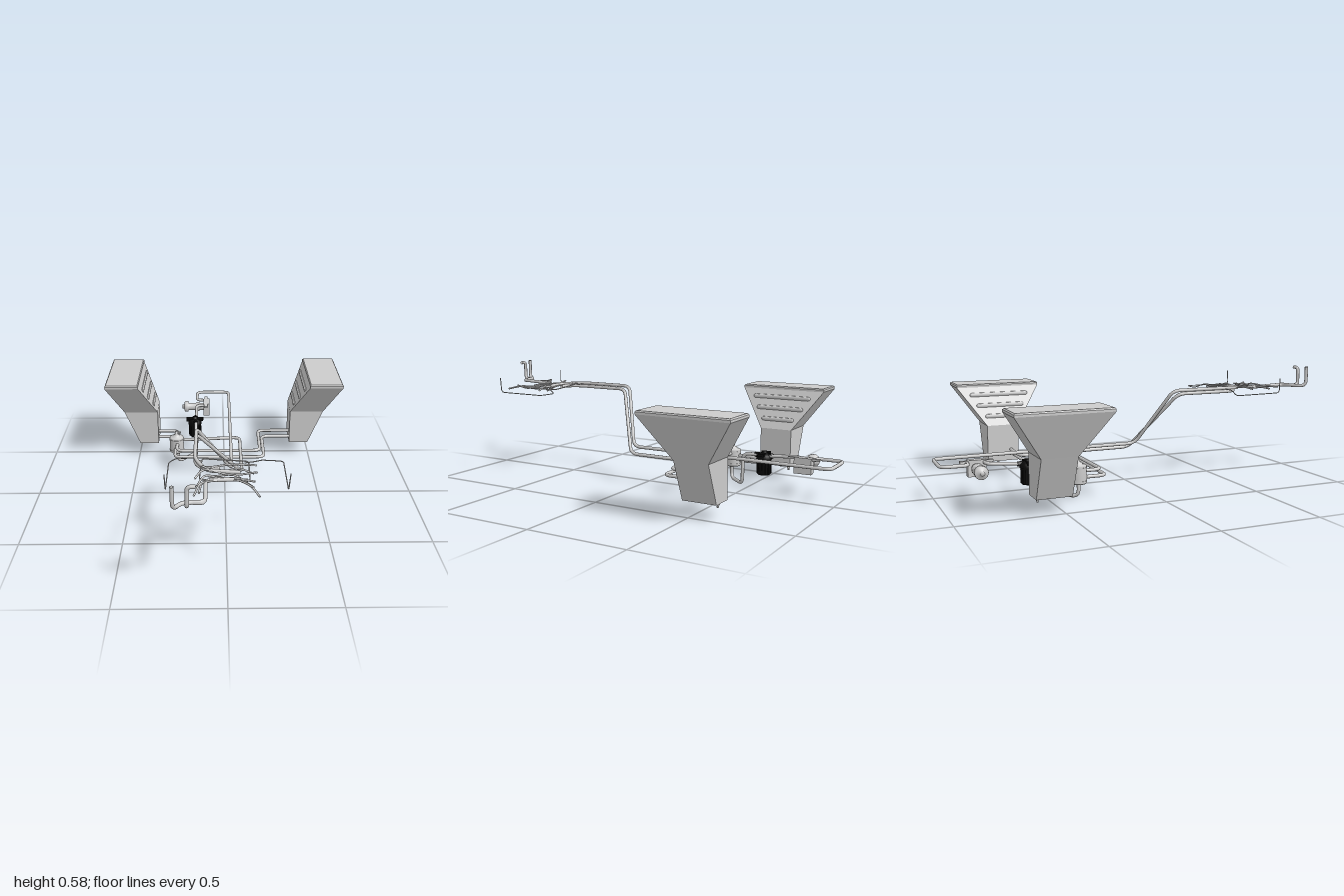
import * as THREE from 'three';

const grey = new THREE.MeshStandardMaterial({ color: 0xcccccc, side: THREE.DoubleSide });
const facet = new THREE.MeshStandardMaterial({ color: 0xcccccc, flatShading: true });
const black = new THREE.MeshStandardMaterial({ color: 0x0a0a0a });
const R = 0.009;

function add(parent, name, geometry, material = grey, x = 0, y = 0, z = 0) {
  const mesh = new THREE.Mesh(geometry, material);
  mesh.name = name;
  mesh.position.set(x, y, z);
  parent.add(mesh);
  return mesh;
}

// Polyline path whose corners are rounded
function roundedPath(points, bend) {
  const p = points.map((a) => new THREE.Vector3(...a));
  const path = new THREE.CurvePath();
  let from = p[0];
  for (let i = 1; i < p.length - 1; i++) {
    const before = p[i - 1].clone().sub(p[i]);
    const after = p[i + 1].clone().sub(p[i]);
    const d = Math.min(bend, before.length() * 0.48, after.length() * 0.48);
    const a = p[i].clone().add(before.setLength(d));
    const b = p[i].clone().add(after.setLength(d));
    path.add(new THREE.LineCurve3(from, a));
    path.add(new THREE.QuadraticBezierCurve3(a, p[i], b));
    from = b;
  }
  path.add(new THREE.LineCurve3(from, p[p.length - 1]));
  return path;
}

function pipe(parent, name, points, radius = R, bend = 0.04) {
  const path = roundedPath(points, bend);
  const segments = Math.ceil(path.getLength() / 0.008);
  return add(parent, name, new THREE.TubeGeometry(path, segments, radius, 10));
}

// Stack of rectangles [y, x0, x1, z0, z1] joined into a closed body
function loft(sections) {
  const rings = sections.map(([y, x0, x1, z0, z1]) => [[x0, y, z1], [x1, y, z1], [x1, y, z0], [x0, y, z0]]);
  const pos = [];
  const quad = (a, b, c, d) => pos.push(...a, ...b, ...c, ...a, ...c, ...d);
  for (let i = 0; i < rings.length - 1; i++) {
    for (let k = 0; k < 4; k++) {
      const n = (k + 1) % 4;
      quad(rings[i][k], rings[i][n], rings[i + 1][n], rings[i + 1][k]);
    }
  }
  quad(...rings[rings.length - 1]);
  quad(...[...rings[0]].reverse());
  const g = new THREE.BufferGeometry();
  g.setAttribute('position', new THREE.Float32BufferAttribute(pos, 3));
  g.computeVertexNormals();
  return g;
}

function lathe(profile, sides = 28) {
  return new THREE.LatheGeometry(profile.map(([r, y]) => new THREE.Vector2(r, y)), sides);
}

function buildTank(s) {
  const tank = new THREE.Group();
  tank.name = s > 0 ? 'leftTank' : 'rightTank';
  const sec = (y, inner, outer, z0, z1) => [y, s > 0 ? inner : -outer, s > 0 ? outer : -inner, z0, z1];
  add(tank, 'tankBody', loft([
    sec(0.075, 0.385, 0.493, -0.636, -0.466),
    sec(0.272, 0.385, 0.576, -0.636, -0.466),
    sec(0.473, 0.478, 0.662, -0.774, -0.324),
    sec(0.484, 0.478, 0.662, -0.774, -0.324),
    sec(0.49, 0.483, 0.657, -0.769, -0.329),
  ]), facet);
  // Stiffening beads on the sloping inner face
  for (const [t, half] of [[0.24, 0.09], [0.52, 0.13], [0.8, 0.16]]) {
    const bead = add(tank, 'stiffeningBead', new THREE.CapsuleGeometry(0.012, 2 * half - 0.024, 4, 12), grey,
      s * (0.385 + 0.093 * t), 0.272 + 0.201 * t, -0.55);
    bead.rotation.x = Math.PI / 2;
    bead.scale.x = 0.6;
  }
  // Drain fittings underneath
  add(tank, 'drainFitting', lathe([[0, 0.048], [0.005, 0.048], [0.005, 0.058], [0.009, 0.06], [0.009, 0.066], [0.005, 0.067], [0.005, 0.076]], 12), grey, s * 0.43, 0, -0.612);
  add(tank, 'drainPlug', new THREE.CylinderGeometry(0.007, 0.007, 0.014, 6), facet, s * 0.43, 0.07, -0.57);
  return tank;
}

function buildValve() {
  const valve = new THREE.Group();
  valve.name = 'selectorValve';
  add(valve, 'valveBody', lathe([[0, 0.075], [0.036, 0.075], [0.04, 0.08], [0.04, 0.16], [0.037, 0.166],
    [0.022, 0.168], [0.018, 0.178], [0.009, 0.18], [0.009, 0.2], [0, 0.2]]));
  for (const y of [0.087, 0.152]) add(valve, 'valveBand', new THREE.CylinderGeometry(0.042, 0.042, 0.008, 28), grey, 0, y, 0);
  add(valve, 'valveLever', new THREE.BoxGeometry(0.034, 0.007, 0.012), grey, 0.008, 0.192, 0);
  valve.position.set(-0.273, 0, -0.358);
  return valve;
}

function buildFilter() {
  const filter = new THREE.Group();
  filter.name = 'fuelFilter';
  add(filter, 'filterBowl', lathe([[0, 0.072], [0.03, 0.072], [0.035, 0.078], [0.035, 0.15], [0.04, 0.152], [0.04, 0.172], [0.028, 0.182], [0.014, 0.184], [0.014, 0.194], [0, 0.194]]), black);
  for (let i = 0; i < 12; i++) {
    const a = i * Math.PI / 6;
    add(filter, 'filterRib', new THREE.BoxGeometry(0.005, 0.065, 0.005), black, 0.035 * Math.cos(a), 0.112, 0.035 * Math.sin(a));
  }
  const port = add(filter, 'filterPorts', new THREE.CylinderGeometry(0.013, 0.013, 0.1, 6), black, 0.004, 0.172, 0);
  port.rotation.x = Math.PI / 2;
  add(filter, 'filterBracket', new THREE.BoxGeometry(0.1, 0.014, 0.03), black, 0, 0.178, 0);
  filter.position.set(-0.173, 0, -0.577);
  return filter;
}

function buildPump() {
  const pump = new THREE.Group();
  pump.name = 'fuelPump';
  add(pump, 'pumpBlock', new THREE.BoxGeometry(0.036, 0.08, 0.088), facet, -0.105, 0.158, -0.81);
  add(pump, 'pumpFlange', new THREE.BoxGeometry(0.02, 0.01, 0.16), facet, -0.11, 0.19, -0.81);
  // Motor lying across, built along its axis
  const motor = add(pump, 'pumpMotor', lathe([[0, 0], [0.012, 0], [0.012, 0.012], [0.03, 0.014], [0.033, 0.02],
    [0.033, 0.036], [0.023, 0.038], [0.023, 0.085], [0.029, 0.088], [0.029, 0.105], [0.022, 0.107], [0.022, 0.14]], 24),
    grey, -0.256, 0.16, -0.815);
  motor.rotation.z = -Math.PI / 2;
  return pump;
}

function buildLines() {
  const lines = new THREE.Group();
  lines.name = 'fuelLines';
  // Supply and return runs between the tanks and the valve
  for (const [y, zTank, xR, xL, zFront] of [[0.134, -0.508, 0.2, -0.268, -0.24], [0.105, -0.49, 0.222, -0.278, -0.217]]) {
    pipe(lines, 'leftTankLine', [[0.39, y, zTank], [xR, y, zTank], [xR, y, zFront], [xL, y, zFront], [xL, y, -0.34]]);
    pipe(lines, 'rightTankLine', [[-0.39, y, zTank], [xL, y, zTank], [xL, y, -0.37]]);
  }
  pipe(lines, 'valveToFilterLine', [[-0.265, 0.08, -0.355], [-0.265, 0.01, -0.355], [-0.165, 0.01, -0.462],
    [-0.165, 0.172, -0.462], [-0.165, 0.172, -0.55]]);
  pipe(lines, 'filterToPumpLine', [[-0.165, 0.172, -0.61], [-0.165, 0.185, -0.77], [-0.11, 0.185, -0.775]], R, 0.03);
  pipe(lines, 'feedLine', [[-0.11, 0.185, -0.855], [-0.165, 0.185, -0.86], [-0.165, 0.186, -0.99], [0.035, 0.186, -0.99],
    [0.035, 0.186, 0.075], [-0.142, 0.48, 0.215], [-0.142, 0.48, 0.54], [-0.09, 0.472, 0.64], [0.06, 0.47, 0.655]]);
  pipe(lines, 'returnLine', [[-0.26, 0.145, -0.36], [0.088, 0.158, -0.36], [0.088, 0.158, 0.06], [-0.14, 0.462, 0.245],
    [-0.14, 0.462, 0.55], [-0.11, 0.462, 0.6], [-0.03, 0.465, 0.6]]);
  // Front pipes with upturned ends
  pipe(lines, 'frontRiser', [[0.03, 0.47, 0.72], [-0.092, 0.47, 0.725], [-0.092, 0.478, 0.925], [-0.185, 0.48, 0.93],
    [-0.222, 0.48, 0.985], [-0.222, 0.583, 0.985]], R, 0.03);
  pipe(lines, 'frontHook', [[-0.092, 0.475, 0.9], [-0.1, 0.475, 0.925], [-0.165, 0.48, 0.93], [-0.165, 0.48, 0.972],
    [-0.163, 0.575, 0.972], [-0.128, 0.575, 0.972]], R, 0.025);
  return lines;
}

function buildEngineLines() {
  const g = new THREE.Group();
  g.name = 'engineLines';
  // Outer thin lines, each ending in a short upright
  pipe(g, 'rightOuterLine', [[-0.265, 0.53, 0.785], [-0.262, 0.455, 0.785], [-0.262, 0.452, 0.52], [-0.22, 0.475, 0.52], [-0.08, 0.475, 0.525]], 0.0025, 0.02);
  pipe(g, 'leftOuterLine', [[0.267, 0.53, 0.785], [0.26, 0.452, 0.785], [0.26, 0.452, 0.515], [0.16, 0.452, 0.503], [0.135, 0.475, 0.56], [0.08, 0.472, 0.57]], 0.0025, 0.02);
  // Loop around the manifold
  pipe(g, 'manifoldLoop', [[-0.05, 0.475, 0.54], [0.1, 0.465, 0.54], [0.1, 0.46, 0.72], [-0.12, 0.47, 0.72], [-0.11, 0.48, 0.54], [-0.05, 0.475, 0.54]], 0.003, 0.02);
  // Branch lines fanning out to both sides
  const branches = [
    [[-0.12, 0.48, 0.56], [-0.1, 0.47, 0.6], [0.02, 0.475, 0.59], [0.135, 0.46, 0.57]],
    [[-0.14, 0.465, 0.7], [-0.1, 0.48, 0.65], [0.02, 0.46, 0.66], [0.135, 0.47, 0.655]],
    [[-0.11, 0.49, 0.63], [-0.04, 0.47, 0.65], [0.05, 0.48, 0.64], [0.12, 0.455, 0.64]],
    [[-0.14, 0.47, 0.86], [-0.11, 0.48, 0.77], [-0.05, 0.47, 0.73], [0.06, 0.475, 0.72]],
    [[-0.12, 0.46, 0.82], [-0.1, 0.475, 0.75], [0, 0.47, 0.705], [0.12, 0.47, 0.74]],
    [[-0.08, 0.48, 0.71], [0.04, 0.465, 0.715], [0.1, 0.47, 0.78], [0.135, 0.455, 0.845]],
    [[-0.06, 0.47, 0.69], [0.03, 0.48, 0.7], [0.09, 0.46, 0.74], [0.11, 0.475, 0.8]],
    [[-0.13, 0.475, 0.79], [-0.09, 0.49, 0.72], [0, 0.465, 0.72], [0.09, 0.46, 0.7]],
  ];
  for (const b of branches) {
    const curve = new THREE.CatmullRomCurve3(b.map((p) => new THREE.Vector3(...p)));
    add(g, 'branchLine', new THREE.TubeGeometry(curve, 28, 0.0045, 8));
  }
  return g;
}

export function createModel() {
  const model = new THREE.Group();
  model.name = 'fuelSystem';
  model.add(buildTank(1), buildTank(-1), buildValve(), buildFilter(), buildPump(), buildLines(), buildEngineLines());
  return model;
}
